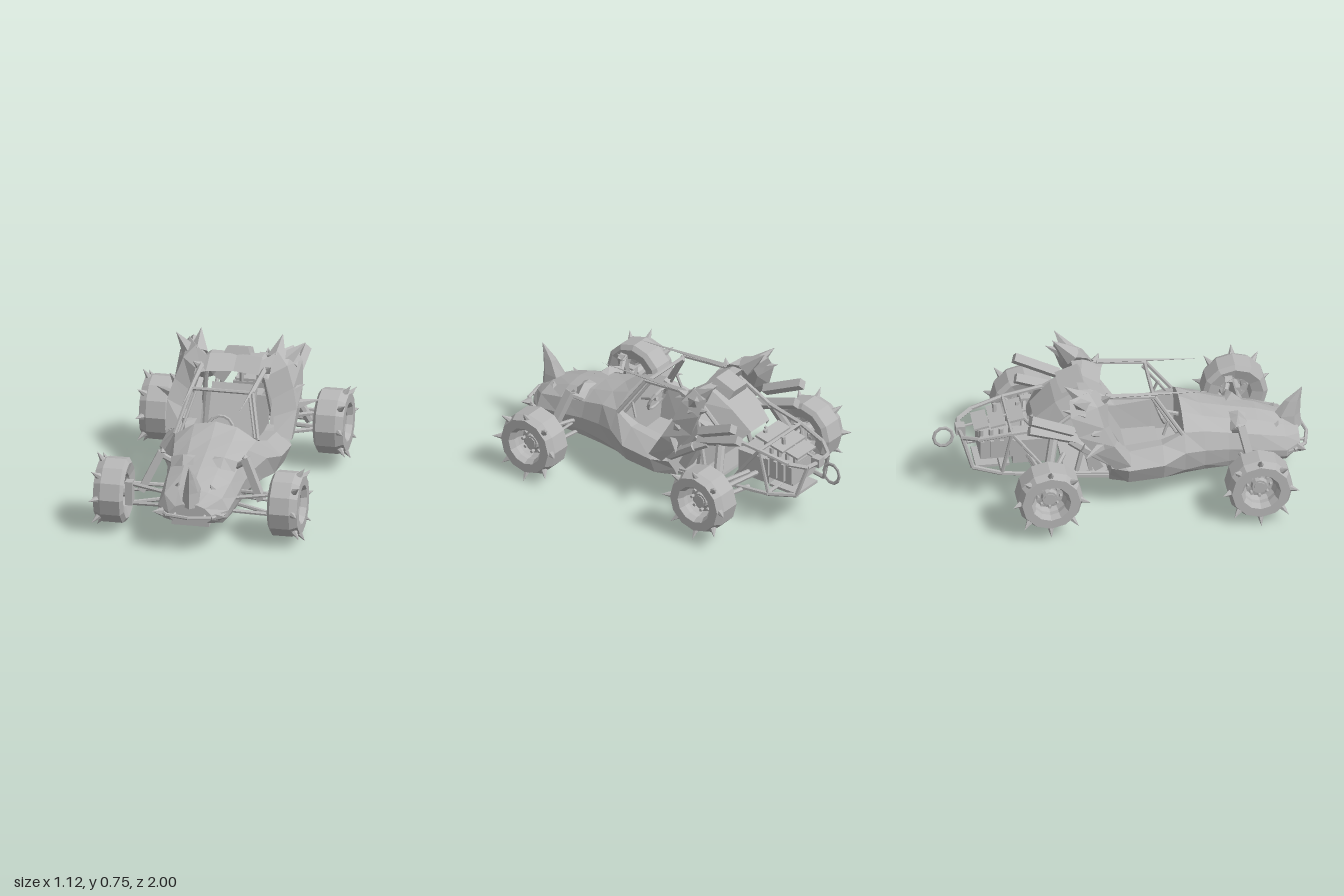
import * as THREE from 'three';

const grey = new THREE.MeshStandardMaterial({ color: 0xb6b6b6, flatShading: true, side: THREE.DoubleSide });
grey.name = 'bare grey';
const V = (p) => new THREE.Vector3(...p);

function add(parent, name, geo) {
  const m = new THREE.Mesh(geo, grey);
  m.name = name;
  parent.add(m);
  return m;
}

// Skin a grid of points; rows may be closed loops and ends may be capped.
function skin(rows, closed = false, caps = false) {
  const n = rows[0].length, idx = [], pos = rows.flat(2);
  for (let r = 0; r < rows.length - 1; r++)
    for (let i = 0; i < (closed ? n : n - 1); i++) {
      const a = r * n + i, b = r * n + (i + 1) % n;
      idx.push(a, b, a + n, b, b + n, a + n);
    }
  if (caps) for (const s of [0, (rows.length - 1) * n]) {
    const flat = rows[s / n].map((p) => new THREE.Vector2(p[0], p[1]));
    for (const f of THREE.ShapeUtils.triangulateShape(flat, [])) {
      if (s) idx.push(s + f[0], s + f[1], s + f[2]);
      else idx.push(s + f[2], s + f[1], s + f[0]);
    }
  }
  const g = new THREE.BufferGeometry();
  g.setAttribute('position', new THREE.Float32BufferAttribute(pos, 3));
  g.setIndex(idx);
  g.computeVertexNormals();
  return g;
}

// Half outline from bottom centre to top centre, mirrored into a full ring at z.
function ring(z, half) {
  const right = half.map(([x, y]) => [x, y, z]);
  return [...right, ...right.slice(1, -1).reverse().map(([x, y]) => [-x, y, z])];
}

function rod(parent, name, a, b, r, r2 = r, n = 6) {
  const d = V(b).sub(V(a));
  const m = add(parent, name, new THREE.CylinderGeometry(r2, r, d.length(), n));
  m.position.copy(V(a)).addScaledVector(d, 0.5);
  m.quaternion.setFromUnitVectors(new THREE.Vector3(0, 1, 0), d.normalize());
  return m;
}
const spike = (parent, name, a, b, r, n = 5) => rod(parent, name, a, b, r, 0, n);
function pipe(parent, name, pts, r) {
  for (let i = 0; i < pts.length - 1; i++) rod(parent, name, pts[i], pts[i + 1], r);
}
function box(parent, name, size, pos, rx = 0) {
  const m = add(parent, name, new THREE.BoxGeometry(...size));
  m.position.set(...pos);
  m.rotation.x = rx;
  return m;
}

// Wheel with its axle along x, outer side +x
function makeWheel() {
  const w = new THREE.Group();
  const lathe = (pts) => new THREE.LatheGeometry(pts.map((p) => new THREE.Vector2(...p)), 12).rotateZ(-Math.PI / 2);
  add(w, 'tyre', lathe([[0.09, -0.06], [0.15, -0.077], [0.175, -0.06], [0.175, 0.045], [0.155, 0.085],
    [0.105, 0.085], [0.088, 0.055], [0.09, -0.06]]));
  add(w, 'rim', lathe([[0.09, 0.03], [0.075, 0.0], [0.045, 0.005], [0.04, 0.03], [0, 0.03]]));
  rod(w, 'hub', [-0.06, 0, 0], [0.035, 0, 0], 0.035, 0.03, 10);
  for (let i = 0; i < 8; i++) {
    const a = i * Math.PI / 4, c = Math.cos(a), s = Math.sin(a);
    spike(w, 'tyreSpike', [0.06, c * 0.155, s * 0.155], [0.096, c * 0.205, s * 0.205], 0.02, 6);
    rod(w, 'wheelBolt', [0, c * 0.06, s * 0.06], [0.025, c * 0.06, s * 0.06], 0.009);
  }
  return w;
}

// Everything that exists on both sides, built for +x
function buildSide(g) {
  for (const [name, z, y] of [['frontWheel', 0.67, 0.2], ['rearWheel', -0.445, 0.235]]) {
    const w = makeWheel();
    w.name = name;
    w.position.set(0.464, y, z);
    g.add(w);
  }
  // front suspension
  for (const [y, yo] of [[0.15, 0.125], [0.22, 0.24]])
    for (const z of [0.6, 0.71]) rod(g, 'frontArm', [0.17, y, z], [0.4, yo, 0.66], 0.011);
  rod(g, 'tieRod', [0.17, 0.2, 0.62], [0.4, 0.19, 0.63], 0.008);
  rod(g, 'frontShock', [0.225, 0.41, 0.61], [0.325, 0.2, 0.66], 0.028, 0.028, 4);
  spike(g, 'shockCap', [0.225, 0.405, 0.6], [0.22, 0.42, 0.64], 0.022, 4);
  rod(g, 'shockMount', [0.17, 0.35, 0.58], [0.24, 0.4, 0.61], 0.016);
  box(g, 'frontUpright', [0.04, 0.13, 0.05], [0.385, 0.19, 0.67]);
  // rear suspension
  for (const y of [0.18, 0.27])
    for (const z of [-0.32, -0.5]) rod(g, 'rearArm', [0.14, y, z], [0.42, y + 0.01, -0.445], 0.013);
  rod(g, 'rearShock', [0.22, 0.47, -0.38], [0.34, 0.23, -0.44], 0.026, 0.026, 8);
  box(g, 'rearUpright', [0.04, 0.13, 0.06], [0.38, 0.235, -0.445]);
  rod(g, 'driveShaft', [0.06, 0.23, -0.5], [0.42, 0.235, -0.445], 0.014);

  // shoulder panel sweeping from the sill to the roof
  add(g, 'shoulderPanel', skin([
    [[0.15, 0.665, -0.15], [0.22, 0.70, -0.2], [0.28, 0.7, -0.31], [0.2, 0.66, -0.27]],
    [[0.17, 0.59, -0.09], [0.28, 0.64, -0.16], [0.33, 0.62, -0.31], [0.24, 0.59, -0.27]],
    [[0.21, 0.47, -0.09], [0.32, 0.53, -0.13], [0.34, 0.5, -0.27], [0.27, 0.49, -0.22]],
    [[0.23, 0.39, -0.05], [0.35, 0.43, -0.08], [0.345, 0.4, -0.19], [0.29, 0.39, -0.17]],
    [[0.25, 0.32, 0.02], [0.34, 0.29, 0.01], [0.33, 0.27, -0.07], [0.28, 0.28, -0.06]],
  ], true, true));
  spike(g, 'topSpike', [0.21, 0.65, -0.22], [0.22, 0.75, -0.33], 0.055);
  spike(g, 'outerSpike', [0.25, 0.64, -0.23], [0.35, 0.725, -0.3], 0.05);
  spike(g, 'rearSpike', [0.28, 0.61, -0.24], [0.31, 0.66, -0.355], 0.04);
  spike(g, 'innerSpike', [0.18, 0.62, -0.11], [0.21, 0.655, -0.08], 0.025);
  spike(g, 'midSpike', [0.31, 0.5, -0.16], [0.365, 0.525, -0.21], 0.03);
  spike(g, 'lowSpike', [0.32, 0.43, -0.14], [0.445, 0.43, -0.25], 0.03);

  // cage
  pipe(g, 'cagePillar', [[0.225, 0.39, 0.3], [0.165, 0.6, 0.16], [0.17, 0.625, -0.12]], 0.011);
  pipe(g, 'cagePillarInner', [[0.2, 0.39, 0.27], [0.14, 0.595, 0.14]], 0.008);
  spike(g, 'roofSpike', [0.17, 0.63, -0.1], [0.155, 0.602, 0.46], 0.016, 4);
  rod(g, 'cageBrace', [0.15, 0.62, -0.15], [0.2, 0.2, -0.26], 0.013);
  rod(g, 'mirrorStalk', [0.2, 0.38, 0.2], [0.19, 0.46, 0.23], 0.008);

  // square exhausts, side cooler, quarter panel and rear rails
  rod(g, 'exhaust', [0.28, 0.5, -0.29], [0.3, 0.605, -0.52], 0.032, 0.032, 4);
  rod(g, 'exhaust', [0.24, 0.42, -0.25], [0.25, 0.51, -0.52], 0.032, 0.032, 4);
  pipe(g, 'exhaustFeed', [[0.27, 0.24, -0.02], [0.27, 0.39, -0.24], [0.24, 0.42, -0.3]], 0.026);
  box(g, 'sideCooler', [0.07, 0.22, 0.05], [0.22, 0.33, -0.2], -0.5);
  add(g, 'quarterPanel', skin([[[0.15, 0.59, -0.18], [0.15, 0.49, -0.31]], [[0.22, 0.53, -0.19], [0.2, 0.46, -0.34]]]));
  pipe(g, 'upperRail', [[0.17, 0.6, -0.2], [0.2, 0.48, -0.38], [0.18, 0.45, -0.6], [0.15, 0.41, -0.77],
    [0.09, 0.39, -0.85], [0, 0.39, -0.86]], 0.012);
  pipe(g, 'lowerRail', [[0.2, 0.165, 0], [0.19, 0.185, -0.4], [0.17, 0.2, -0.65], [0.12, 0.22, -0.8],
    [0.09, 0.39, -0.85]], 0.012);
  rod(g, 'railPost', [0.18, 0.45, -0.6], [0.17, 0.21, -0.65], 0.01);
  rod(g, 'railBrace', [0.18, 0.45, -0.6], [0.19, 0.185, -0.4], 0.01);

  // bumper and hood crests
  pipe(g, 'bumper', [[0.17, 0.17, 0.8], [0.175, 0.2, 0.9], [0.12, 0.2, 0.965], [0, 0.2, 0.99]], 0.01);
  spike(g, 'bumperSpike', [0.15, 0.2, 0.93], [0.2, 0.21, 0.96], 0.025);
  rod(g, 'bumperStay', [0.08, 0.2, 0.975], [0.08, 0.2, 0.9], 0.009);
  add(g, 'browCrest', skin([[[0.04, 0.365, 0.67], [0.05, 0.395, 0.62], [0.05, 0.39, 0.57]],
    [[0.1, 0.35, 0.67], [0.11, 0.405, 0.61], [0.11, 0.385, 0.57]],
    [[0.17, 0.32, 0.63], [0.18, 0.38, 0.59], [0.17, 0.35, 0.56]]]));
  spike(g, 'snoutSpike', [0.1, 0.28, 0.8], [0.085, 0.335, 0.83], 0.03, 4);
}

export function createModel() {
  const car = new THREE.Group();
  car.name = 'spikedBuggy';

  // nose and hood
  add(car, 'hood', skin([
    ring(0.94, [[0, 0.16], [0.09, 0.16], [0.115, 0.18], [0.115, 0.205], [0.08, 0.24], [0.04, 0.255], [0, 0.26]]),
    ring(0.86, [[0, 0.14], [0.16, 0.14], [0.185, 0.17], [0.19, 0.21], [0.155, 0.275], [0.08, 0.3], [0, 0.32]]),
    ring(0.72, [[0, 0.135], [0.175, 0.135], [0.19, 0.17], [0.2, 0.23], [0.17, 0.31], [0.09, 0.35], [0, 0.365]]),
    ring(0.55, [[0, 0.14], [0.185, 0.14], [0.2, 0.18], [0.21, 0.26], [0.18, 0.345], [0.1, 0.385], [0, 0.4]]),
    ring(0.42, [[0, 0.14], [0.195, 0.14], [0.22, 0.18], [0.235, 0.28], [0.2, 0.38], [0.11, 0.42], [0, 0.43]]),
    ring(0.31, [[0, 0.13], [0.2, 0.13], [0.25, 0.18], [0.275, 0.3], [0.22, 0.395], [0.115, 0.46], [0, 0.483]]),
  ], true, true));
  // open tub with side pods
  add(car, 'cockpitTub', skin([
    ring(0.31, [[0, 0.13], [0.2, 0.13], [0.25, 0.18], [0.275, 0.3], [0.22, 0.395], [0.19, 0.39], [0.16, 0.18], [0, 0.17]]),
    ring(0.19, [[0, 0.125], [0.21, 0.125], [0.29, 0.17], [0.33, 0.27], [0.25, 0.35], [0.19, 0.345], [0.16, 0.18], [0, 0.17]]),
    ring(0.0, [[0, 0.12], [0.22, 0.12], [0.3, 0.165], [0.34, 0.26], [0.26, 0.33], [0.19, 0.325], [0.16, 0.18], [0, 0.17]]),
    ring(-0.09, [[0, 0.145], [0.225, 0.145], [0.25, 0.19], [0.3, 0.26], [0.25, 0.33], [0.19, 0.33], [0.16, 0.18], [0, 0.17]]),
  ], true, true));
  box(car, 'rearFloor', [0.43, 0.015, 0.26], [0, 0.165, -0.19], 0.09);
  box(car, 'jawLip', [0.2, 0.03, 0.06], [0, 0.15, 0.9]);

  // curved nose horn
  add(car, 'horn', skin([[0.24, 0.88, 0.055, 0.085], [0.32, 0.885, 0.045, 0.072], [0.4, 0.917, 0.025, 0.043], [0.477, 0.967, 0.001, 0.001]]
    .map(([y, z, rx, rz]) => [0, 1, 2, 3, 4, 5].map((i) => {
      const a = i * Math.PI / 3;
      return [Math.sin(a) * rx, y, z + Math.cos(a) * rz];
    })), true));

  // roof band, intake and sloping cover behind the seat
  add(car, 'roofBand', skin([[-0.2, 0.04, 0.02], [-0.14, 0, 0], [0, 0, -0.03], [0.14, 0, 0], [0.2, 0.04, 0.02]]
    .map(([x, d, f]) => [[x, 0.605 - d * 0.3, -0.08 + f], [x, 0.667 - d, -0.18 + f], [x, 0.665 - d, -0.24], [x, 0.6 - d * 0.3, -0.2]])));
  add(car, 'roofIntake', skin([
    [[-0.075, 0.66, -0.2], [-0.055, 0.703, -0.22], [0.055, 0.703, -0.22], [0.075, 0.66, -0.2]],
    [[-0.075, 0.61, -0.32], [-0.055, 0.66, -0.34], [0.055, 0.66, -0.34], [0.075, 0.61, -0.32]],
  ], true, true));
  add(car, 'engineCover', skin([
    [[-0.16, 0.59, -0.18], [-0.1, 0.655, -0.21], [0.1, 0.655, -0.21], [0.16, 0.59, -0.18]],
    [[-0.15, 0.49, -0.31], [-0.1, 0.575, -0.36], [0.1, 0.575, -0.36], [0.15, 0.49, -0.31]],
    [[-0.12, 0.41, -0.42], [-0.08, 0.47, -0.47], [0.08, 0.47, -0.47], [0.12, 0.41, -0.42]],
  ]));
  box(car, 'bulkhead', [0.34, 0.28, 0.02], [0, 0.3, -0.2], -0.15);
  rod(car, 'roofCrossbar', [-0.16, 0.597, 0.155], [0.16, 0.597, 0.155], 0.01);

  // reclined seat and steering
  box(car, 'seatBase', [0.22, 0.05, 0.2], [0, 0.205, 0.1]);
  box(car, 'seatBack', [0.24, 0.36, 0.03], [0, 0.36, -0.07], -0.5);
  const wheel = add(car, 'steeringWheel', new THREE.TorusGeometry(0.07, 0.009, 5, 14));
  wheel.position.set(0, 0.4, 0.21);
  wheel.rotation.x = -0.4;
  rod(car, 'steeringColumn', [0, 0.4, 0.21], [0, 0.37, 0.31], 0.012);

  // engine, plates and stacks
  box(car, 'engineBlock', [0.18, 0.13, 0.17], [0, 0.31, -0.67]);
  box(car, 'gearbox', [0.14, 0.14, 0.2], [0, 0.26, -0.48]);
  box(car, 'engineTray', [0.18, 0.015, 0.18], [0, 0.2, -0.69]);
  for (let i = 0; i < 4; i++) {
    const z = -0.59 - i * 0.052;
    box(car, 'engineFin', [0.21, 0.1, 0.02], [0, 0.31, z]);
    for (const x of [-0.06, 0.06]) rod(car, 'engineStack', [x, 0.36, z], [x, 0.41, z], 0.013);
  }
  for (const [z, y, w] of [[-0.56, 0.47, 0.2], [-0.66, 0.445, 0.2], [-0.745, 0.425, 0.16]])
    box(car, 'engineLid', [w, 0.012, 0.08], [0.01, y, z], -0.2);
  rod(car, 'lidSpine', [0, 0.475, -0.5], [0, 0.4, -0.85], 0.008);
  for (const z of [-0.54, -0.66]) rod(car, 'airStack', [0.04, 0.4, z], [0.05, 0.495, z], 0.012);
  rod(car, 'crossTube', [-0.17, 0.21, -0.65], [0.17, 0.21, -0.65], 0.011);
  rod(car, 'crossTube', [-0.18, 0.45, -0.6], [0.18, 0.45, -0.6], 0.01);
  box(car, 'tailBlock', [0.05, 0.05, 0.05], [0, 0.39, -0.85]);

  // upright tail ring, flat across x
  const loop = add(car, 'tailRing', new THREE.TorusGeometry(0.05, 0.01, 5, 10));
  loop.rotation.y = Math.PI / 2;
  loop.position.set(0, 0.345, -0.94);
  loop.scale.set(1, 1.12, 0.4);

  // both sides
  for (const s of [1, -1]) {
    const side = new THREE.Group();
    side.name = s > 0 ? 'leftSide' : 'rightSide';
    buildSide(side);
    side.scale.x = s;
    car.add(side);
  }
  return car;
}
